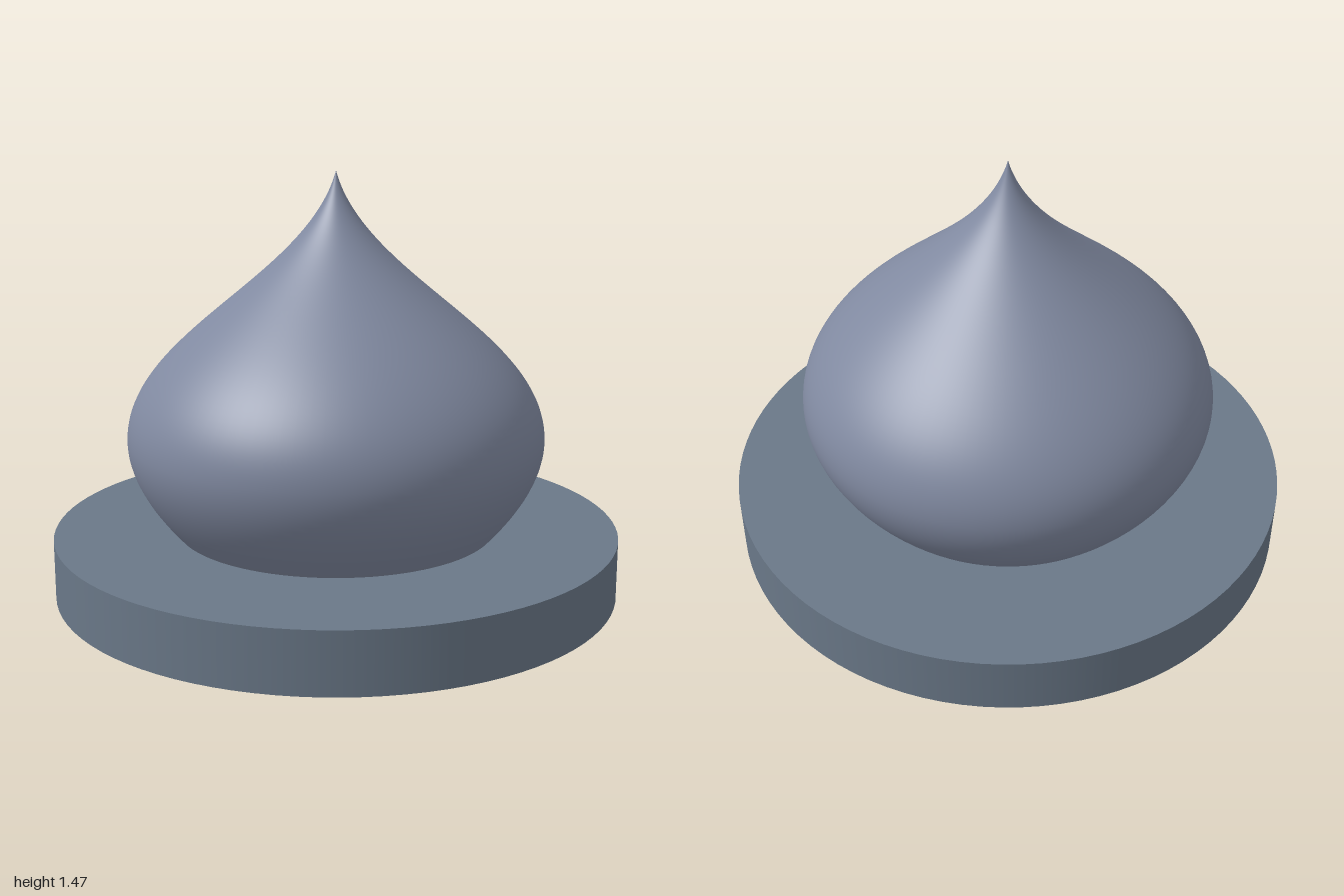
import * as THREE from 'three';

const v = (x, y) => new THREE.Vector2(x, y);

export function createModel() {
  const model = new THREE.Group();

  // Flat round plinth
  const base = new THREE.Mesh(
    new THREE.CylinderGeometry(1, 1, 0.21, 96),
    new THREE.MeshStandardMaterial({ color: 0x6a7888 })
  );
  base.name = 'base';
  base.position.y = 0.105;
  model.add(base);

  // Onion dome: swelling lower curve, then an ogee sweep up to the point
  const lower = new THREE.CubicBezierCurve(v(0.57, 0.21), v(0.68, 0.33), v(0.735, 0.44), v(0.735, 0.54));
  const upper = new THREE.CubicBezierCurve(v(0.735, 0.54), v(0.735, 0.9), v(0.1, 1.1), v(0, 1.47));
  const profile = [...lower.getPoints(16), ...upper.getPoints(48).slice(1)];
  const dome = new THREE.Mesh(
    new THREE.LatheGeometry(profile, 96),
    new THREE.MeshStandardMaterial({ color: 0x8089a0 })
  );
  dome.name = 'onionDome';
  model.add(dome);

  return model;
}
